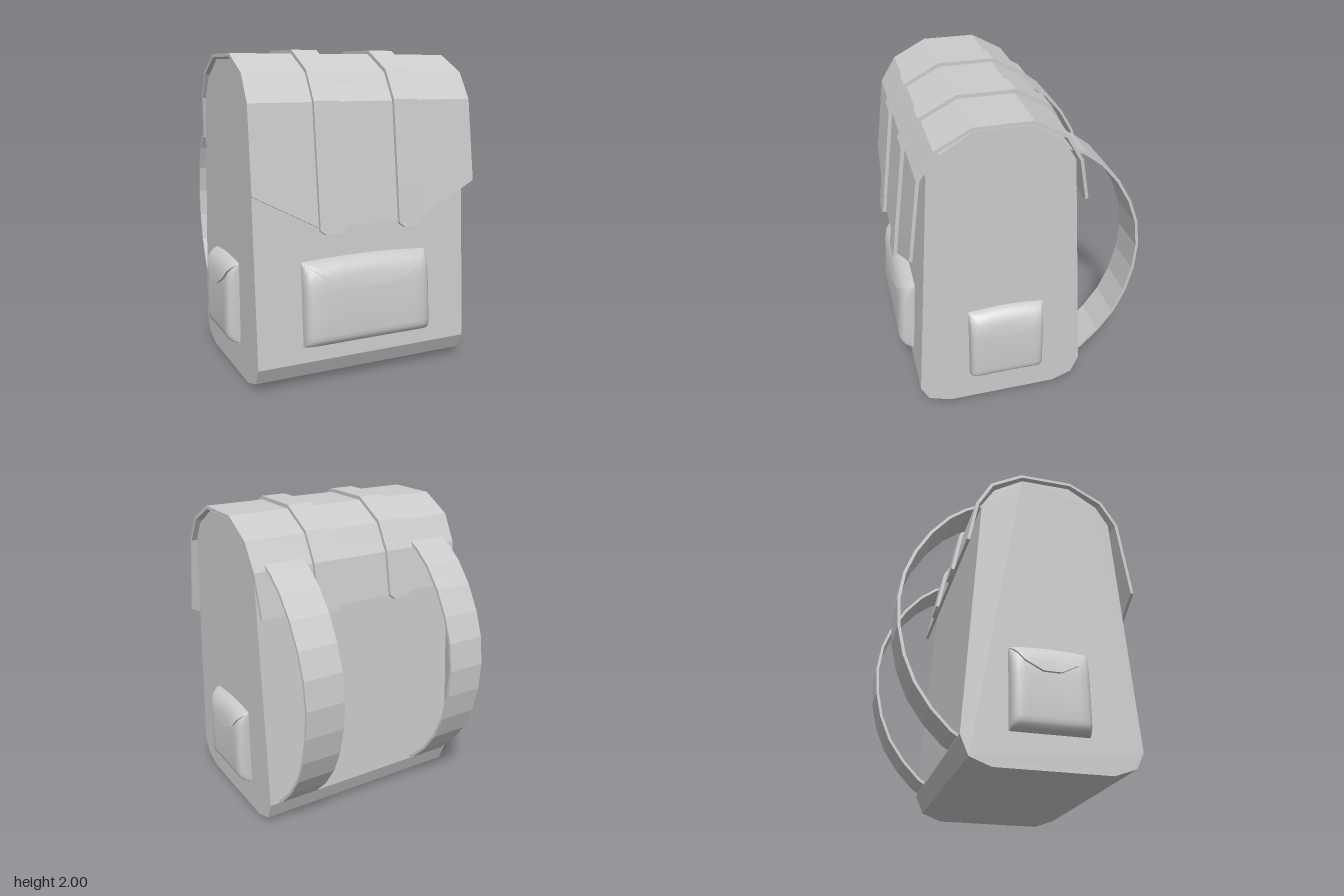
import * as THREE from 'three';
import { toCreasedNormals } from 'three/addons/utils/BufferGeometryUtils.js';

const material = new THREE.MeshStandardMaterial({ color: 0xcccccc });
const flatMaterial = new THREE.MeshStandardMaterial({ color: 0xcccccc, flatShading: true });

function makeMesh(name, geometry, mat = flatMaterial) {
  const mesh = new THREE.Mesh(geometry, mat);
  mesh.name = name;
  return mesh;
}

function makeGeometry(positions, index) {
  const g = new THREE.BufferGeometry();
  g.setAttribute('position', new THREE.Float32BufferAttribute(positions, 3));
  g.setIndex(index);
  g.computeVertexNormals();
  return g;
}

// Moves a [z, y] path outward by a distance, mitred at the bends.
function offsetPath(path, distance) {
  const normal = (p, q) => new THREE.Vector2(q[1] - p[1], p[0] - q[0]).normalize();
  return path.map((p, i) => {
    const n1 = i > 0 ? normal(path[i - 1], p) : normal(p, path[i + 1]);
    const n2 = i < path.length - 1 ? normal(p, path[i + 1]) : n1;
    const m = n1.clone().add(n2).normalize();
    const d = distance / m.dot(n1);
    return [p[0] + m.x * d, p[1] + m.y * d];
  });
}

// Band of fabric: outer [z, y] path, half-width at each point, thickness.
function bandGeometry(outer, halfWidths, thickness) {
  const inner = offsetPath(outer, -thickness);
  const pos = [], idx = [];
  const n = outer.length;
  outer.forEach(([z, y], i) => {
    const w = halfWidths[i];
    const [zi, yi] = inner[i];
    pos.push(w, y, z, -w, y, z, -w, yi, zi, w, yi, zi);
    if (i === n - 1) return;
    for (let k = 0; k < 4; k++) {
      const a = i * 4 + k, b = i * 4 + (k + 1) % 4;
      idx.push(a, a + 4, b + 4, a, b + 4, b);
    }
  });
  const e = (n - 1) * 4;
  idx.push(0, 1, 2, 0, 2, 3, e, e + 2, e + 1, e, e + 3, e + 2);
  return makeGeometry(pos, idx);
}

// Linear interpolation through [key, value] pairs.
function lerpTable(table, t) {
  for (let i = 1; i < table.length; i++) {
    const [a, va] = table[i - 1], [b, vb] = table[i];
    if (t <= b) return b === a ? vb : va + (vb - va) * (t - a) / (b - a);
  }
  return table[table.length - 1][1];
}

// Pocket sections: fullness across the width, lid bulge from the top, lid edge height.
const columns = [[1, 0], [0.995, 0.45], [0.97, 0.72], [0.92, 0.9], [0.84, 1], [0.67, 1], [0.45, 0.98], [0.23, 0.97], [0, 0.96]];
const across = [...columns.map(([u, f]) => [-u, f]), ...columns.slice(0, -1).reverse()];
const lidBulge = [[0, 0], [0.015, 0.28], [0.04, 0.47], [0.08, 0.66], [0.13, 0.8], [0.19, 0.89], [0.25, 0.94], [0.34, 1]];
const lidEdge = [[0, 0.66], [0.23, 0.66], [0.67, 0.77], [1, 0.96]];
const pouchRows = [[0, 0], [0.005, 0.3], [0.02, 0.55], [0.05, 0.73], [0.09, 0.82], [0.14, 0.85], [0.4, 0.84],
  [0.62, 0.82], [0.75, 0.78], [0.87, 0.64], [0.96, 0.36], [1, 0]];

// Grid of points over the pocket; rowCount rows given by a rule (u, row) -> [y, depth].
function pocketSurface(width, height, depth, rowCount, rule) {
  const pos = [], idx = [];
  const n = across.length;
  for (let j = 0; j < rowCount; j++) {
    across.forEach(([u, f], i) => {
      const [y, d] = rule(u, j);
      pos.push(u * width / 2, y * height, d * f * depth);
      if (i === n - 1 || j === rowCount - 1) return;
      const a = j * n + i;
      idx.push(a, a + 1, a + n + 1, a, a + n + 1, a + n);
    });
  }
  return toCreasedNormals(makeGeometry(pos, idx), 0.75);
}

function createPocket(name, width, height, depth) {
  const group = new THREE.Group();
  group.name = name;
  const topY = (u) => 1 - 0.03 * u * u;
  const pouch = pocketSurface(width, height, depth, pouchRows.length, (u, j) =>
    [pouchRows[j][0] * topY(u), pouchRows[j][1]]);
  // Row 0 is the underside of the lid's edge.
  const lidRows = 11;
  const lid = pocketSurface(width, height, depth, lidRows, (u, j) => {
    const edge = lerpTable(lidEdge, Math.abs(u));
    const t = Math.max(0, j - 1) / (lidRows - 2);
    const y = topY(u) - (topY(u) - edge) * (1 - t) ** 1.6;
    const bulge = lerpTable(lidBulge, topY(u) - y);
    return [y, j === 0 ? bulge * 0.75 : bulge];
  });
  group.add(makeMesh('pouch', pouch, material), makeMesh('pocketLid', lid, material));
  return group;
}

export function createModel() {
  const model = new THREE.Group();
  model.name = 'backpack';

  // Main bag: side profile extruded across the width.
  const profile = [[0.5, 0], [0.64, 0.05], [0.69, 0.15], [0.58, 1.7], [0.5, 1.83], [0.31, 1.945],
    [-0.01, 1.945], [-0.2, 1.83], [-0.28, 1.7], [-0.39, 0.17], [-0.34, 0.05], [-0.21, 0]];
  const bag = new THREE.ExtrudeGeometry(new THREE.Shape(profile.map(([z, y]) => new THREE.Vector2(z, y))),
    { depth: 1.43, bevelEnabled: false });
  bag.translate(0, 0, -0.715).rotateY(-Math.PI / 2);
  model.add(makeMesh('bag', bag));

  // Flap folded over the top, with a pointed front edge.
  const flapPath = [[0.733, 0.98], [0.706, 1.19], [0.637, 1.7], [0.535, 1.865], [0.32, 1.977], [-0.02, 1.977],
    [-0.225, 1.865], [-0.32, 1.7], [-0.372, 1.43]];
  const flapWidths = [0.34, 0.743, 0.737, 0.735, 0.735, 0.735, 0.735, 0.73, 0.715];
  model.add(makeMesh('flap', bandGeometry(flapPath, flapWidths, 0.02)));

  // Two closing straps with clipped ends, lying on the flap.
  const strapPath = offsetPath([[0.738, 0.94], [0.734, 0.965], ...flapPath.slice(1, -1), [-0.37, 1.43], [-0.375, 1.4]], 0.023);
  const strapWidths = strapPath.map((p, i) => (i === 0 || i === strapPath.length - 1 ? 0.045 : 0.083));
  const strapGeometry = bandGeometry(strapPath, strapWidths, 0.025);

  // Two shoulder straps curving out behind the back.
  const shoulderPath = [[-0.24, 1.765], [-0.37, 1.7], [-0.48, 1.615], [-0.59, 1.485], [-0.68, 1.33], [-0.74, 1.17],
    [-0.765, 0.99], [-0.755, 0.81], [-0.715, 0.63], [-0.645, 0.465], [-0.545, 0.32], [-0.43, 0.2], [-0.375, 0.165]];
  const shoulderGeometry = bandGeometry(shoulderPath, shoulderPath.map(() => 0.128), 0.018);

  for (const [side, s] of [['left', 1], ['right', -1]]) {
    const strap = makeMesh(side + 'ClosingStrap', strapGeometry);
    strap.position.x = s * 0.263;
    const shoulder = makeMesh(side + 'ShoulderStrap', shoulderGeometry);
    shoulder.position.x = s * 0.525;
    const pocket = createPocket(side + 'Pocket', 0.48, 0.525, 0.096);
    pocket.position.set(s * 0.714, 0.21, 0.125);
    pocket.rotation.y = s * Math.PI / 2;
    model.add(strap, shoulder, pocket);
  }

  // Front pocket, leaning with the front panel.
  const frontPocket = createPocket('frontPocket', 0.85, 0.53, 0.112);
  frontPocket.position.set(0, 0.25, 0.682);
  frontPocket.rotation.x = -0.071;
  model.add(frontPocket);

  return model;
}
